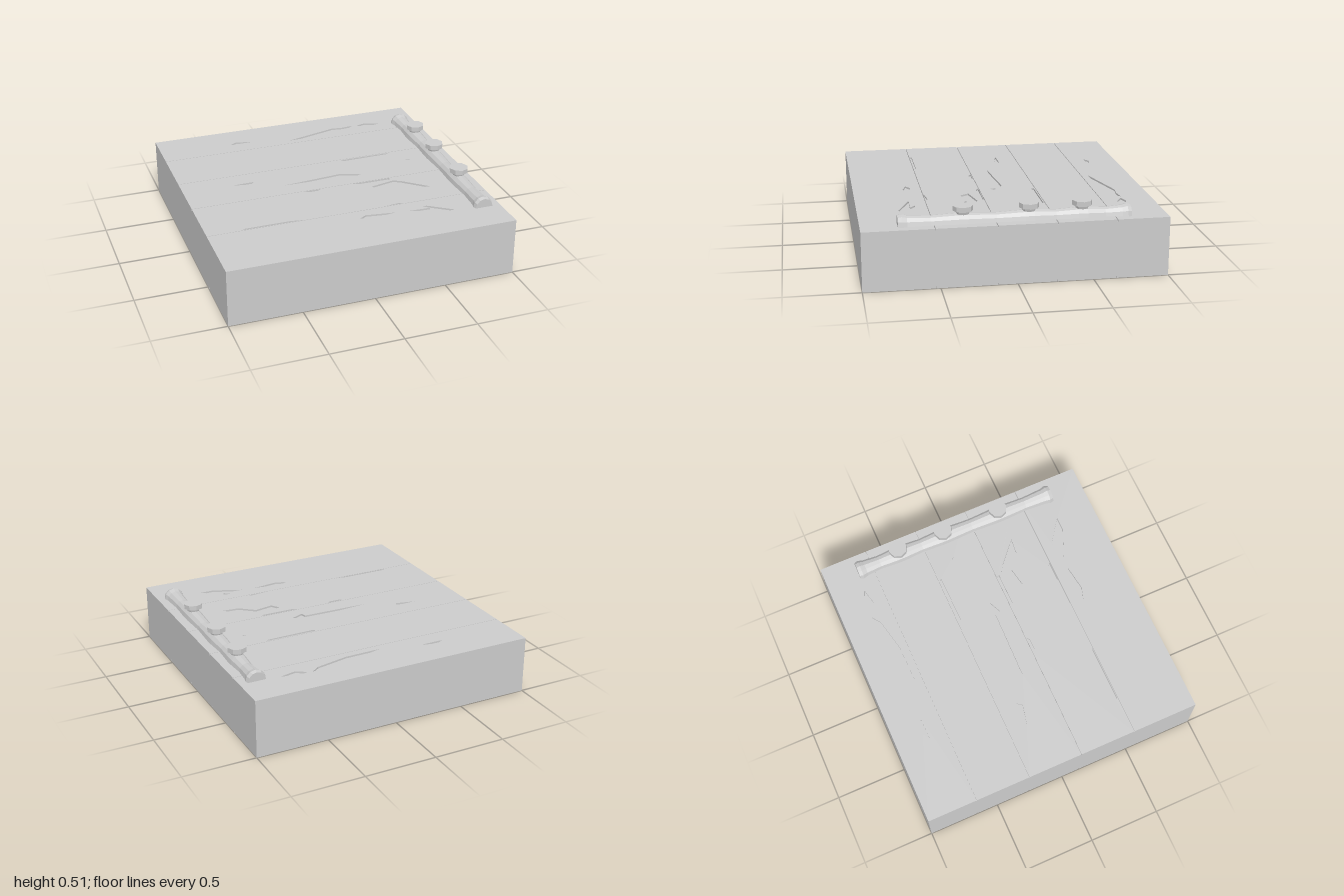
import * as THREE from 'three';

const TOP = 0.4;      // height of the floor surface
const SKIN = 0.012;   // depth of the cracks and seams
const GAP = 0.002;    // half the seam between planks
const SEAMS = [-1, -0.65, -0.26, 0.13, 0.53, 1];

// Outlines of the chips and cracks, as [x, z] corners
const CRACKS = [
  [[-0.48, -0.77], [-0.43, -0.8], [-0.33, -0.78], [-0.33, -0.77]],
  [[-0.04, -0.7], [0.34, -0.8], [0.42, -0.79], [0.51, -0.8], [0.45, -0.755], [0.22, -0.705]],
  [[0.54, -0.79], [0.61, -0.81], [0.72, -0.77], [0.61, -0.745]],
  [[0.21, -0.25], [0.57, -0.25], [0.58, -0.235], [0.23, -0.23]],
  [[-0.65, -0.12], [-0.49, -0.125], [-0.51, -0.09]],
  [[0.66, -0.1], [0.69, -0.105], [0.7, -0.09]],
  [[-0.31, 0], [0.12, -0.04], [0.27, 0.01], [0.18, 0.05], [0.17, 0.01]],
  [[-0.2, 0.135], [-0.08, 0.135], [-0.08, 0.14], [-0.1, 0.155], [-0.17, 0.155]],
  [[0.16, 0.135], [0.43, 0.135], [0.44, 0.155], [0.2, 0.155]],
  [[0.27, 0.22], [0.45, 0.18], [0.5, 0.21], [0.66, 0.35], [0.54, 0.34], [0.44, 0.255], [0.31, 0.28]],
  [[-0.75, 0.51], [-0.42, 0.51], [-0.33, 0.525], [-0.74, 0.525]],
  [[0.23, 0.525], [0.36, 0.51], [0.38, 0.525]],
  [[0.03, 0.63], [0.08, 0.6], [0.29, 0.63], [0.11, 0.655]],
  [[0.38, 0.64], [0.53, 0.645], [0.49, 0.61], [0.52, 0.61], [0.68, 0.725], [0.58, 0.725]],
];

export function createModel() {
  const group = new THREE.Group();
  const material = new THREE.MeshStandardMaterial({ color: 0xcccccc, flatShading: true });
  const add = (name, geometry, x = 0, y = 0, z = 0, parent = group) => {
    const mesh = new THREE.Mesh(geometry, material);
    mesh.name = name;
    mesh.position.set(x, y, z);
    parent.add(mesh);
    return mesh;
  };
  const toShape = (Type, points) => new Type(points.map(([x, z]) => new THREE.Vector2(x, -z)));

  // Solid core between the two plank layers
  add('floorCore', new THREE.BoxGeometry(2, TOP - 2 * SKIN, 2), 0, TOP / 2);

  // Planks run along x; the upper ones are pierced by the cracks
  for (let i = 0; i < SEAMS.length - 1; i++) {
    const z0 = SEAMS[i] + (i > 0 ? GAP : 0);
    const z1 = SEAMS[i + 1] - (i < SEAMS.length - 2 ? GAP : 0);
    const shape = toShape(THREE.Shape, [[-1, z1], [1, z1], [1, z0], [-1, z0]]);
    shape.holes = CRACKS.filter(c => c[0][1] > z0 && c[0][1] < z1).map(c => toShape(THREE.Path, c));
    const plank = new THREE.ExtrudeGeometry(shape, { depth: SKIN, bevelEnabled: false });
    plank.rotateX(-Math.PI / 2);
    add('topPlank', plank, 0, TOP - SKIN);
    add('bottomPlank', new THREE.BoxGeometry(2, SKIN, z1 - z0), 0, SKIN / 2, (z0 + z1) / 2);
  }

  // Half-round rail along z, swelling at its ends and under each peg
  const pegZ = [-0.44, -0.09, 0.34];
  const profile = [[0, -0.76], [0.062, -0.76], [0.07, -0.735], [0.06, -0.7], [0.051, -0.59]];
  pegZ.forEach((z, i) => {
    const next = i < 2 ? (z + pegZ[i + 1]) / 2 : 0.55;
    profile.push([0.06, z - 0.03], [0.06, z + 0.03], [0.051, next]);
  });
  profile.push([0.06, 0.7], [0.07, 0.735], [0.062, 0.76], [0, 0.76]);
  // the lathe axis y becomes -z, so z is negated and the order reversed
  const points = profile.map(([r, z]) => new THREE.Vector2(r, -z)).reverse();
  const rail = new THREE.LatheGeometry(points, 6, -Math.PI / 2, Math.PI);
  rail.rotateX(-Math.PI / 2);
  add('rail', rail, 0.88, TOP);

  // Eight-sided pegs: stem, tapered neck and flat head
  const pegProfile = [[0, 0], [0.03, 0], [0.03, 0.055], [0.042, 0.055], [0.048, 0.075],
    [0.066, 0.077], [0.066, 0.11], [0, 0.11]].map(([r, y]) => new THREE.Vector2(r, y));
  for (const z of pegZ) add('peg', new THREE.LatheGeometry(pegProfile, 8), 0.88, TOP, z);

  return group;
}
